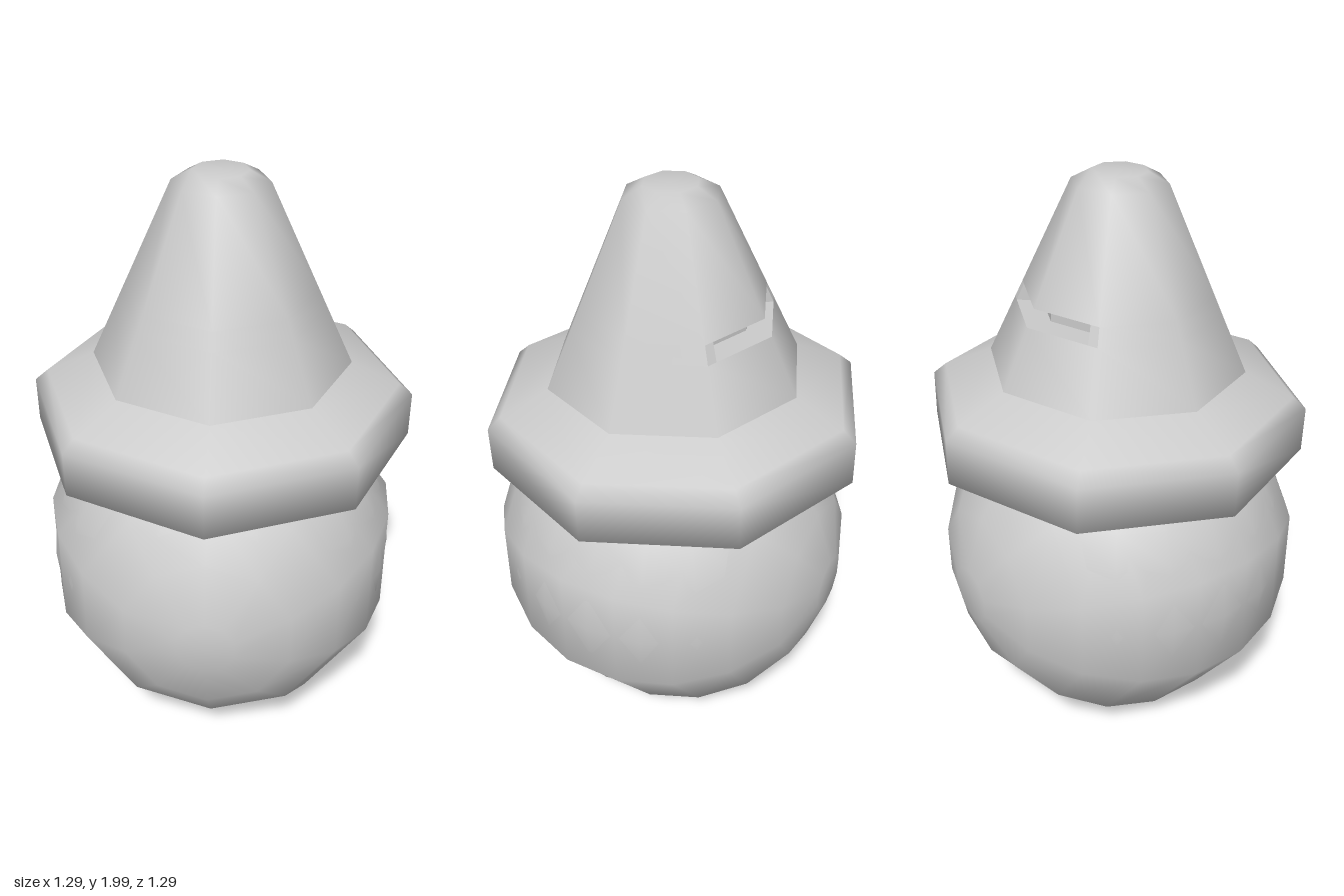
import * as THREE from 'three';

const grey = new THREE.MeshStandardMaterial({ color: 0xcccccc });
const doubleGrey = new THREE.MeshStandardMaterial({ color: 0xcccccc, side: THREE.DoubleSide });

function add(parent, name, geometry, material = grey) {
  const mesh = new THREE.Mesh(geometry, material);
  mesh.name = name;
  parent.add(mesh);
  return mesh;
}

function lathe(profile, sides, start = 0, sweep = Math.PI * 2) {
  const points = profile.map(([r, y]) => new THREE.Vector2(r, y));
  return new THREE.LatheGeometry(points, sides, start, sweep);
}

// Flat four-cornered faces
function quads(list) {
  const pos = [];
  for (const [a, b, c, d] of list) pos.push(...a, ...b, ...c, ...a, ...c, ...d);
  const geometry = new THREE.BufferGeometry();
  geometry.setAttribute('position', new THREE.Float32BufferAttribute(pos, 3));
  geometry.computeVertexNormals();
  return geometry;
}

// Straight cone slope of the hat
const coneRadius = (y) => 0.435 - (y - 1.355) * 0.28 / 0.61;

// Point on the two octagon faces beside the back corner, t from -1 to 1
function backPoint(t, r, y) {
  const s = Math.abs(t) * Math.SQRT1_2;
  return [Math.sign(t) * r * s, y, -r * (1 - Math.abs(t) * (1 - Math.SQRT1_2))];
}

export function createModel() {
  const model = new THREE.Group();
  model.name = 'hattedHead';

  // Ten-sided head, rounded along the front-to-back axis
  const R = 0.632;
  const profile = [[0, -R * Math.cos(Math.PI / 20)]];
  for (let i = 0; i < 10; i++) {
    const a = THREE.MathUtils.degToRad(-81 + i * 18);
    profile.push([R * Math.cos(a), R * Math.sin(a)]);
  }
  profile.push([0, R * Math.cos(Math.PI / 20)]);
  const head = add(model, 'head', lathe(profile, 10));
  head.rotation.x = Math.PI / 2;
  head.position.set(0, R, 0.02);

  // Finer sphere that rounds out the upper head
  const fill = add(model, 'upperHead', new THREE.SphereGeometry(0.607, 20, 16));
  fill.position.set(0, 0.65, 0.02);

  // Hat tilts slightly forward about the brim centre
  const pivot = 1.18;
  const hat = new THREE.Group();
  hat.name = 'hat';
  hat.position.y = pivot;
  hat.rotation.x = 0.024;
  model.add(hat);
  const hatParts = new THREE.Group();
  hatParts.name = 'hatParts';
  hatParts.position.y = -pivot;
  hat.add(hatParts);

  // Thick octagonal brim
  add(hatParts, 'brim', lathe([
    [0, 1.005], [0.48, 1.005], [0.645, 1.085], [0.645, 1.24], [0.6, 1.28], [0.435, 1.355],
  ], 8));

  // Cone in three bands, the middle one open at the back for the slot
  const y0 = 1.555, y1 = 1.612;
  const r0 = coneRadius(y0), r1 = coneRadius(y1), inner = 0.255, end = 0.87;
  add(hatParts, 'coneBase', lathe([[0.435, 1.355], [r0, y0]], 8));
  add(hatParts, 'coneMiddle', lathe([[r0, y0], [r1, y1]], 6, Math.PI * 1.25, Math.PI * 1.5));
  add(hatParts, 'coneTop', lathe([[r1, y1], [0.155, 1.965], [0.09, 2], [0, 2]], 8));

  // Bent slot across the two back faces
  const slot = [], stubs = [];
  for (const side of [-1, 1]) {
    const p = (t, r, y) => backPoint(side * t, r, y);
    stubs.push([p(end, r0, y0), p(1, r0, y0), p(1, r1, y1), p(end, r1, y1)]);
    slot.push(
      [p(0, r0, y0), p(end, r0, y0), p(end, inner, y0), p(0, inner, y0)],
      [p(0, r1, y1), p(end, r1, y1), p(end, inner, y1), p(0, inner, y1)],
      [p(0, inner, y0), p(end, inner, y0), p(end, inner, y1), p(0, inner, y1)],
      [p(end, r0, y0), p(end, inner, y0), p(end, inner, y1), p(end, r1, y1)],
    );
  }
  add(hatParts, 'slotEnds', quads(stubs), doubleGrey);
  add(hatParts, 'backSlot', quads(slot), doubleGrey);

  return model;
}
